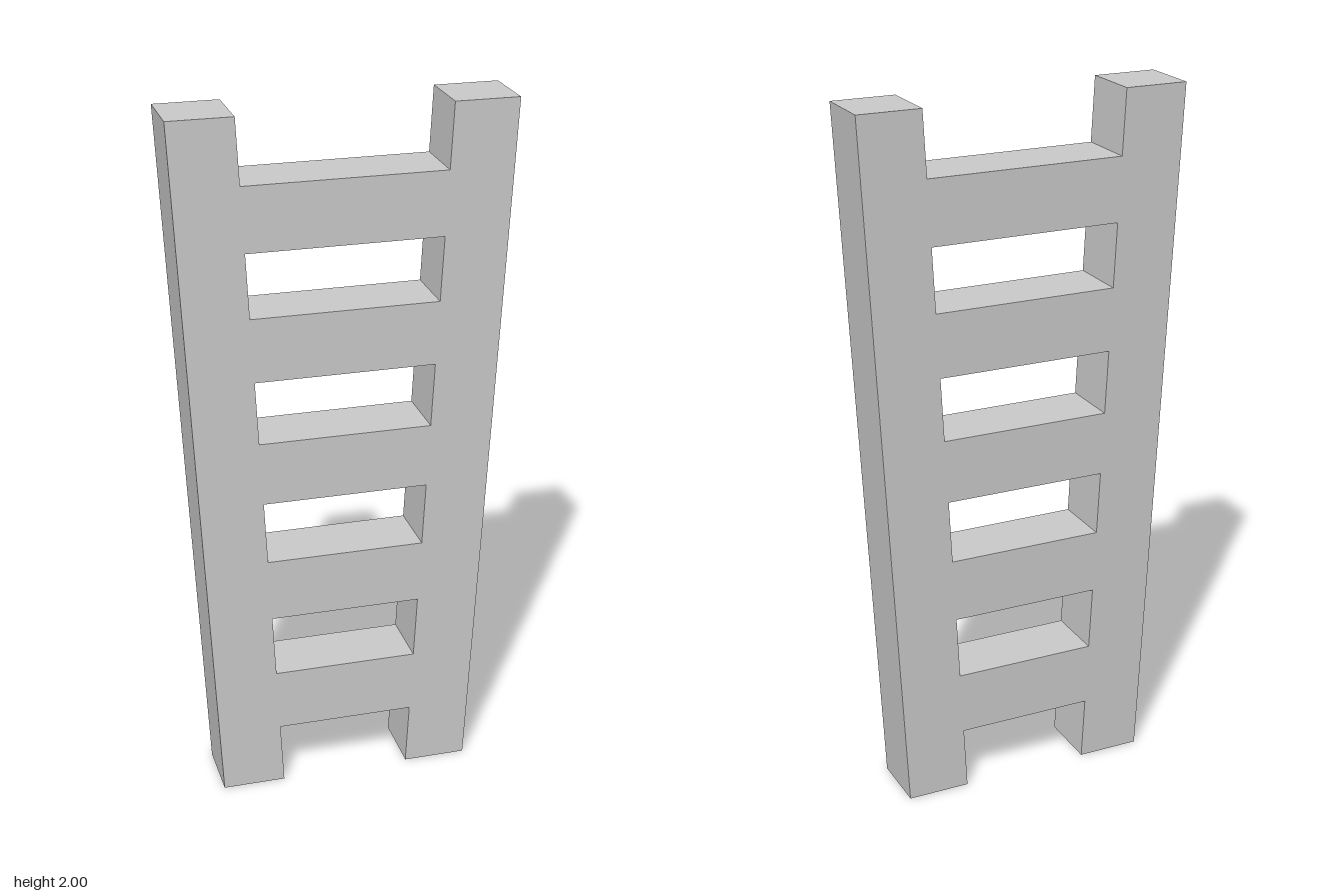
import * as THREE from 'three';

const HEIGHT = 2;
const BAND = HEIGHT / 11; // rungs and gaps share one height
const DEPTH = 0.18;
const RAIL = 0.18; // rail width

// Half the clear width between the rails, widening upwards
const inner = (y) => 0.187 + 0.052 * y;

const material = new THREE.MeshStandardMaterial({ color: 0xcccccc, flatShading: true });

// Flat outline given depth, centred on z = 0
function slab(name, points) {
  const shape = new THREE.Shape(points.map(([x, y]) => new THREE.Vector2(x, y)));
  const geometry = new THREE.ExtrudeGeometry(shape, { depth: DEPTH, bevelEnabled: false });
  geometry.translate(0, 0, -DEPTH / 2);
  const mesh = new THREE.Mesh(geometry, material);
  mesh.name = name;
  return mesh;
}

export function createModel() {
  const ladder = new THREE.Group();
  ladder.name = 'ladder';

  // Slanted side rails, mirrored left and right
  for (const [name, s] of [['leftRail', 1], ['rightRail', -1]]) {
    ladder.add(slab(name, [
      [s * inner(0), 0],
      [s * (inner(0) + RAIL), 0],
      [s * (inner(HEIGHT) + RAIL), HEIGHT],
      [s * inner(HEIGHT), HEIGHT],
    ]));
  }

  // Five rungs, cut to meet the slanted rails
  for (let i = 0; i < 5; i++) {
    const y0 = (2 * i + 1) * BAND;
    const y1 = y0 + BAND;
    ladder.add(slab(`rung${i + 1}`, [
      [-inner(y0), y0],
      [inner(y0), y0],
      [inner(y1), y1],
      [-inner(y1), y1],
    ]));
  }

  return ladder;
}
